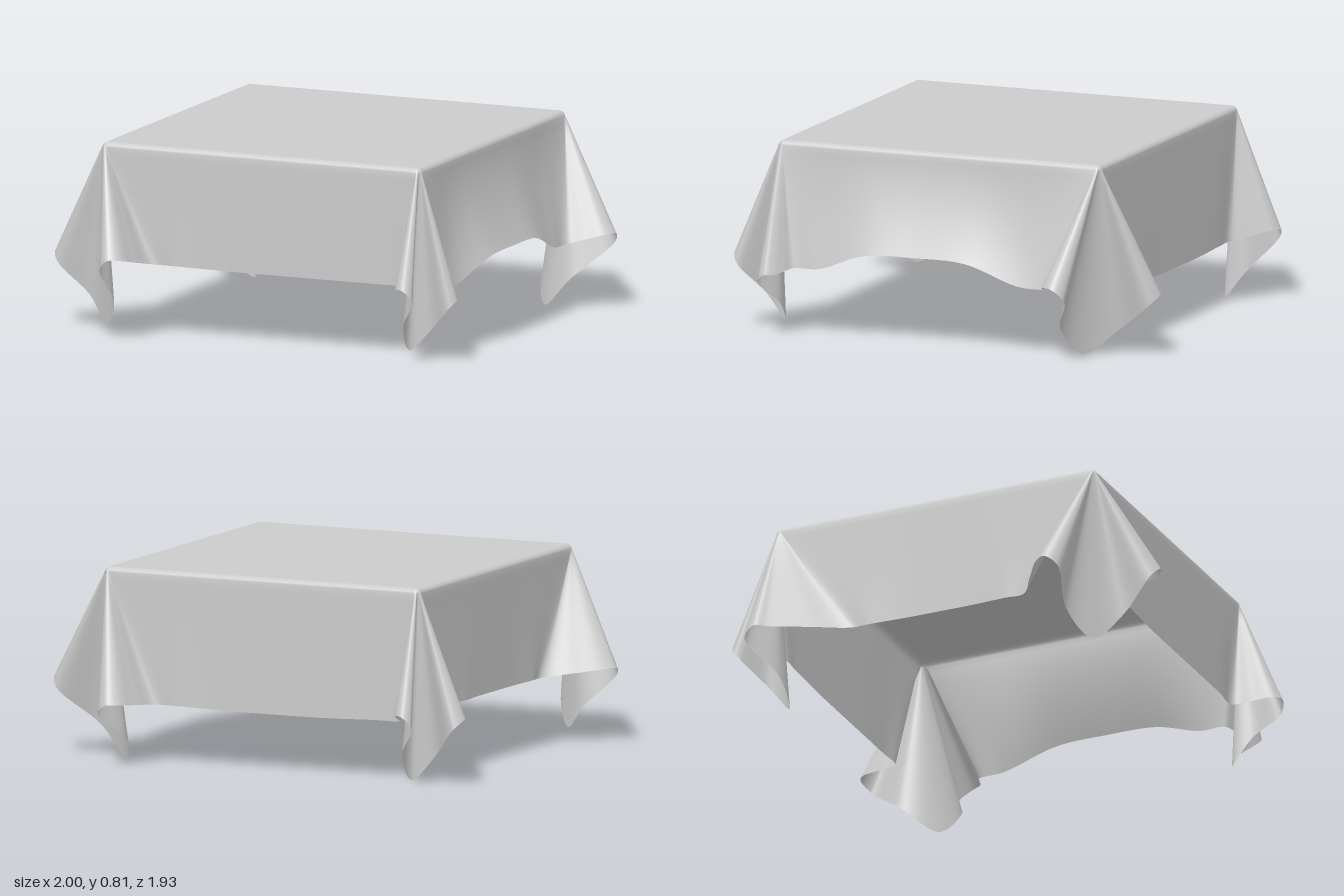
import * as THREE from 'three';

const TOP = 0.815, R = 0.028;            // table-top height, softness of the edge
const LO = -0.745, HI = 0.727;           // extent of the square top in x and z
const STEPS = 7, DROP_ROWS = 18;
const V = (p) => new THREE.Vector3(...p);
const inner = (s) => (s > 0 ? HI - R : LO + R);

// Corners anticlockwise from above. Each has the cloth's hanging tip and two folds:
// root = where the fold leaves the side, end = its outermost hem point, w = half width,
// tuck = how far the hem curls back under the fold on its way to the tip.
const corners = [
  { sign: [1, 1], tip: [0.67, 0.04, 0.71], tuck: 0.035, folds: [
    { root: [0.64, 0.31, 0.72], end: [0.725, 0.33, 0.915], w: 0.038 },
    { root: [0.79, 0.29, 0.62], end: [0.89, 0.27, 0.715], w: 0.038 }] },
  { sign: [1, -1], tip: [0.67, 0, -0.645], tuck: 0.065, folds: [
    { root: [0.825, 0.29, -0.52], end: [1, 0.33, -0.635], w: 0.047 },
    { root: [0.48, 0.25, -0.75], end: [0.605, 0.265, -0.965], w: 0.05 }] },
  { sign: [-1, -1], tip: [-0.69, 0, -0.7], tuck: 0.045, folds: [
    { root: [-0.65, 0.25, -0.74], end: [-0.75, 0.3, -0.93], w: 0.038 },
    { root: [-0.75, 0.29, -0.39], end: [-0.958, 0.28, -0.745], w: 0.052 }] },
  { sign: [-1, 1], tip: [-0.725, 0.04, 0.705], tuck: 0.05, folds: [
    { root: [-0.75, 0.29, 0.4], end: [-1, 0.32, 0.61], w: 0.05 },
    { root: [-0.5, 0.315, 0.73], end: [-0.605, 0.36, 0.965], w: 0.045 }] },
];

// The side that follows each corner: direction, distance out and hem height at its middle
const sides = [
  { dir: [1, 0], out: 0.845, y: 0.385 },
  { dir: [0, -1], out: 0.742, y: 0.242 },
  { dir: [-1, 0], out: 0.742, y: 0.29 },
  { dir: [0, 1], out: 0.722, y: 0.31 },
];

// Hem of one fold, from the side round its rolled end and in towards the tip
function foldHem(fold, { tip, sign, tuck }, alongX) {
  const root = V(fold.root), end = V(fold.end), low = V(tip);
  const out = alongX ? V([sign[0], 0, 0]) : V([0, 0, sign[1]]);
  const across = alongX ? V([0, 0, sign[1]]) : V([sign[0], 0, 0]);
  const back = end.clone().addScaledVector(out, -0.6 * fold.w);
  const near = back.clone().addScaledVector(across, -fold.w);
  const far = back.clone().addScaledVector(across, fold.w);
  far.y = THREE.MathUtils.lerp(end.y, low.y, 0.15);
  const curl = far.clone().lerp(low, 0.55).addScaledVector(across, -tuck);
  return [root, root.clone().lerp(near, 0.5), near, end, far, curl];
}

// For every hem point: where it leaves the top (base), which way it falls (dir)
// and how late it swings outward on the way down (flare)
function controls() {
  const list = [];
  corners.forEach((corner, n) => {
    const { sign, tip, folds } = corner;
    const firstAlongX = n % 2 === 1;
    const fan = [
      ...foldHem(folds[0], corner, firstAlongX), V(tip),
      ...foldHem(folds[1], corner, !firstAlongX).reverse()];
    const mid = Math.atan2(sign[1], sign[0]);
    fan.forEach((hem, k) => {
      const a = mid + (0.5 - k / (fan.length - 1)) * Math.PI / 2;
      list.push({
        hem, flare: 1, base: new THREE.Vector2(inner(sign[0]), inner(sign[1])),
        dir: new THREE.Vector2(Math.cos(a), Math.sin(a)) });
    });

    // Side between this corner and the next
    const { dir, out, y } = sides[n];
    const from = V(folds[1].root), to = V(corners[(n + 1) % 4].folds[0].root);
    for (const f of [0.1, 0.3, 0.5, 0.7, 0.9]) {
      const hem = from.clone().lerp(to, f);
      const middle = V([dir[0] ? dir[0] * out : hem.x, y, dir[1] ? dir[1] * out : hem.z]);
      hem.lerp(middle, THREE.MathUtils.smoothstep(Math.sin(Math.PI * f), 0.2, 0.95));
      list.push({
        hem, flare: 1.7, dir: new THREE.Vector2(...dir),
        base: new THREE.Vector2(dir[0] ? inner(dir[0]) : hem.x, dir[1] ? inner(dir[1]) : hem.z) });
    }
  });
  return list;
}

function clothGeometry() {
  const ctrl = controls();
  const curve = new THREE.CatmullRomCurve3(ctrl.map((c) => c.hem), true, 'centripetal');
  const cols = ctrl.length * STEPS;
  const pos = [], index = [];
  let rows = 0;

  // One closed ring of vertices
  const addRow = (fn) => {
    for (let i = 0; i < cols; i++) {
      const k = Math.floor(i / STEPS), f = (i % STEPS) / STEPS;
      const a = ctrl[k], b = ctrl[(k + 1) % ctrl.length];
      const base = a.base.clone().lerp(b.base, f);
      const dir = a.dir.clone().lerp(b.dir, f).normalize();
      const flare = THREE.MathUtils.lerp(a.flare, b.flare, f);
      pos.push(...fn(base, dir, curve.getPoint(i / cols), flare));
    }
    rows++;
  };

  // Flat top
  for (const s of [0, 0.5, 0.95]) addRow((b) => [b.x * s, TOP, b.y * s]);
  // Soft edge
  const lip = (b, d, phi) => [
    b.x + d.x * R * Math.sin(phi), TOP - R * (1 - Math.cos(phi)), b.y + d.y * R * Math.sin(phi)];
  const END = 1.3;
  for (let k = 0; k <= 4; k++) addRow((b, d) => lip(b, d, END * k / 4));
  // Hanging skirt, from the edge to the hem
  for (let k = 1; k <= DROP_ROWS; k++) {
    const t = k / DROP_ROWS;
    addRow((b, d, h, flare) => {
      const [x, y, z] = lip(b, d, END), s = t ** flare;
      return [x + (h.x - x) * s, y + (h.y - y) * t, z + (h.z - z) * s];
    });
  }

  for (let r = 0; r < rows - 1; r++) {
    for (let i = 0; i < cols; i++) {
      const a = r * cols + i, b = r * cols + (i + 1) % cols;
      index.push(a, a + cols, b + cols);
      if (r > 0) index.push(a, b + cols, b);
    }
  }
  const geo = new THREE.BufferGeometry();
  geo.setAttribute('position', new THREE.Float32BufferAttribute(pos, 3));
  geo.setIndex(index);
  geo.computeVertexNormals();
  return geo;
}

export function createModel() {
  const group = new THREE.Group();
  group.name = 'tablecloth';
  const cloth = new THREE.Mesh(
    clothGeometry(),
    new THREE.MeshStandardMaterial({ color: 0xcccccc, side: THREE.DoubleSide }));
  cloth.name = 'drapedCloth';
  group.add(cloth);
  return group;
}
